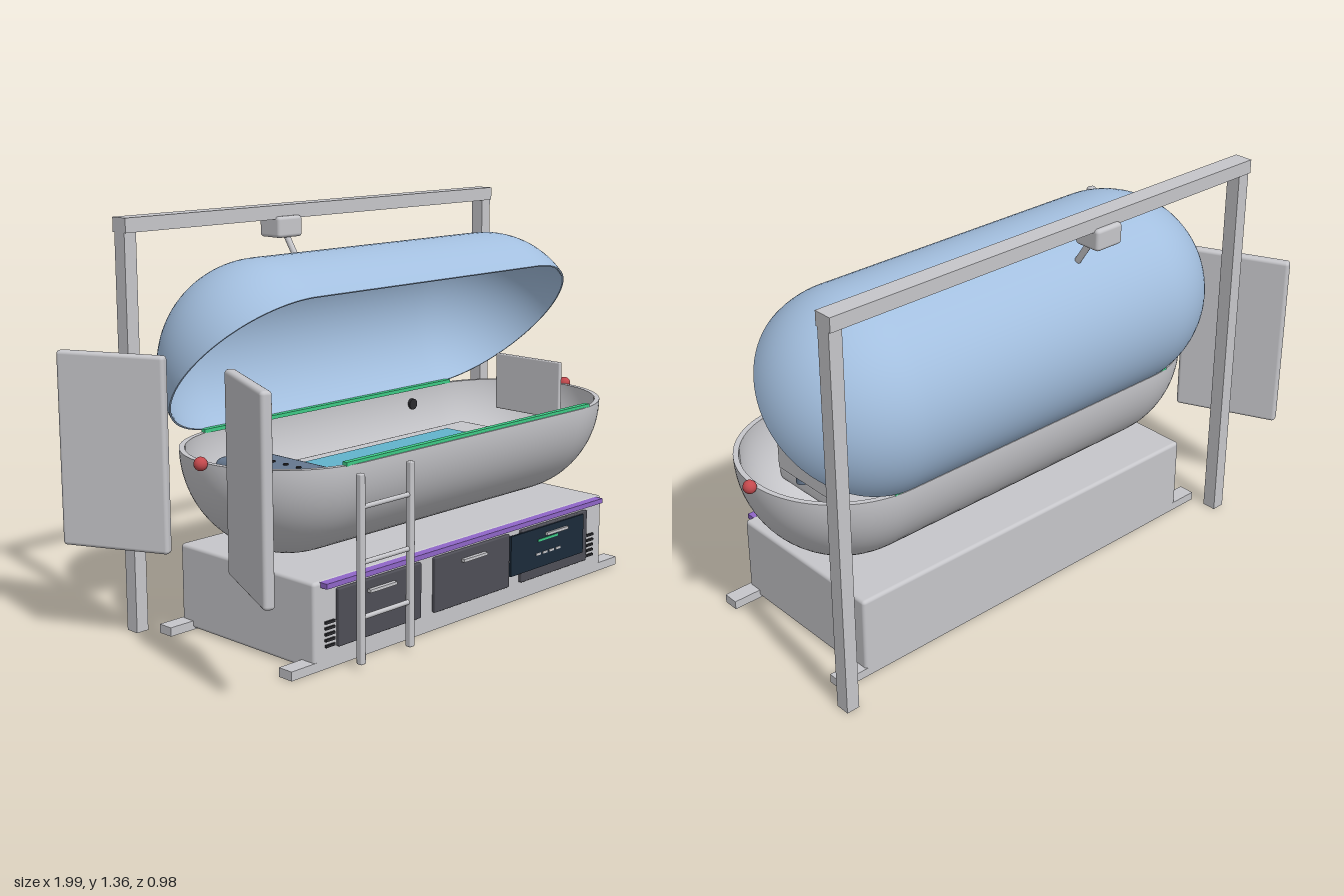
import * as THREE from 'three';
import { RoundedBoxGeometry } from 'three/addons/geometries/RoundedBoxGeometry.js';

const colour = (name, hex) => {
  const m = new THREE.MeshStandardMaterial({ color: hex });
  m.name = name;
  return m;
};

export function createModel() {
  const root = new THREE.Group();
  root.name = 'spaCapsule';
  const grey = colour('light grey', 0xc6c6ca);
  const blue = colour('lid blue', 0xa3bfdf);
  const dark = colour('drawer grey', 0x4e4e56);
  const navy = colour('screen navy', 0x1b2a3a);
  const purple = colour('purple light', 0x8f66c8);
  const green = colour('green light', 0x3ecb86);
  const cyan = colour('cyan pad', 0x62b4cc);
  const red = colour('red', 0xc4494d);
  const slate = colour('pillow slate', 0x66788f);
  const black = colour('jet black', 0x2a2a2e);

  const add = (name, geo, mat, x = 0, y = 0, z = 0, parent = root) => {
    const m = new THREE.Mesh(geo, mat);
    m.name = name;
    m.position.set(x, y, z);
    parent.add(m);
    return m;
  };
  // box given by its min and max on each axis, optionally rounded
  const box = (name, mat, [x0, x1], [y0, y1], [z0, z1], r = 0) => {
    const s = [x1 - x0, y1 - y0, z1 - z0];
    const geo = r ? new RoundedBoxGeometry(...s, 3, r) : new THREE.BoxGeometry(...s);
    return add(name, geo, mat, (x0 + x1) / 2, (y0 + y1) / 2, (z0 + z1) / 2);
  };
  // round bar between two points
  const bar = (name, mat, a, b, r) => {
    const p = new THREE.Vector3(...a), d = new THREE.Vector3(...b).sub(p);
    const m = add(name, new THREE.CylinderGeometry(r, r, d.length(), 12), mat);
    m.position.copy(p).addScaledVector(d, 0.5);
    m.quaternion.setFromUnitVectors(new THREE.Vector3(0, 1, 0), d.normalize());
    return m;
  };

  // half capsule shell, opening upwards, long axis on x
  const R = 0.345, L = 0.5375;
  const shell = (name, mat, thickness) => {
    const g = new THREE.Group();
    g.name = name;
    const profile = (r) => {
      const pts = [];
      for (const s of [-1, 1]) {
        for (let i = 0; i <= 20; i++) {
          const a = (s < 0 ? i - 20 : i) / 20 * Math.PI / 2;
          pts.push(new THREE.Vector2(Math.max(0, r * Math.cos(a)), s * L + r * Math.sin(a)));
        }
      }
      return pts;
    };
    const half = (pts) => new THREE.LatheGeometry(pts, 40, 0, Math.PI).rotateZ(-Math.PI / 2);
    const ri = R - thickness;
    add(name + 'Outside', half(profile(R)), mat, 0, 0, 0, g);
    add(name + 'Inside', half(profile(ri).reverse()), mat, 0, 0, 0, g);
    const stadium = (path, r) => path
      .absarc(L, 0, r, -Math.PI / 2, Math.PI / 2, false)
      .absarc(-L, 0, r, Math.PI / 2, Math.PI * 1.5, false)
      .closePath();
    const rim = stadium(new THREE.Shape(), R);
    rim.holes.push(stadium(new THREE.Path(), ri));
    add(name + 'Rim', new THREE.ShapeGeometry(rim, 32).rotateX(-Math.PI / 2), mat, 0, 0, 0, g);
    root.add(g);
    return g;
  };
  shell('tub', grey, 0.018).position.set(0.08, 0.635, 0);
  const lid = shell('lid', blue, 0.006);
  lid.position.set(0.08, 0.88, -0.1);
  lid.rotation.x = Math.PI * 0.75;

  // inside the tub
  box('bed', grey, [-0.53, 0.69], [0.42, 0.497], [-0.27, 0.27], 0.03);
  box('bedPad', cyan, [-0.24, 0.52], [0.495, 0.502], [-0.19, 0.19]);
  box('pillow', slate, [-0.59, -0.4], [0.49, 0.58], [-0.22, 0.22], 0.03);
  for (let i = 0; i < 6; i++) {
    add('pillowJet', new THREE.CylinderGeometry(0.009, 0.009, 0.006, 12), black, -0.495, 0.581, -0.15 + i * 0.06);
  }
  box('footPanel', grey, [0.748, 0.764], [0.55, 0.76], [-0.15, 0.15], 0.005);
  add('footControl', new THREE.CylinderGeometry(0.02, 0.02, 0.05, 16), slate, 0.71, 0.52, 0.1);
  for (const x of [-0.3, 0.47]) {
    for (const s of [-1, 1]) {
      add('wallJet', new THREE.CylinderGeometry(0.02, 0.02, 0.014, 16).rotateX(Math.PI / 2), black, x, 0.582, s * 0.32);
    }
  }

  // rim lights and end knobs
  for (const z of [-0.33, 0.33]) box('rimLight', green, [-0.53, 0.68], [0.633, 0.646], [z - 0.01, z + 0.01]);
  for (const x of [-0.818, 0.975]) add('endKnob', new THREE.SphereGeometry(0.022, 20, 14), red, x, 0.635, 0);

  // base cabinet and runners
  box('cabinet', grey, [-0.65, 0.8], [0.005, 0.285], [-0.315, 0.315], 0.012);
  for (const z of [-0.287, 0.287]) box('runner', grey, [-0.745, 0.9], [0, 0.03], [z - 0.028, z + 0.028]);
  box('cabinetLight', purple, [-0.62, 0.77], [0.266, 0.283], [0.31, 0.342]);
  for (const [a, b] of [[-0.555, -0.18], [-0.115, 0.265], [0.33, 0.7]]) {
    box('drawer', dark, [a, b], [0.063, 0.25], [0.31, 0.328], 0.004);
    const c = (a + b) / 2 - 0.002;
    box('drawerHandle', grey, [c - 0.06, c + 0.06], [0.21, 0.22], [0.326, 0.342]);
  }
  box('screen', navy, [0.265, 0.67], [0.1, 0.243], [0.326, 0.334]);
  box('screenGreenBar', green, [0.41, 0.52], [0.195, 0.203], [0.333, 0.336]);
  for (let i = 0; i < 4; i++) box('screenGreyBar', grey, [0.4 + i * 0.037, 0.425 + i * 0.037], [0.146, 0.154], [0.333, 0.336]);
  for (const x of [-0.585, 0.728]) {
    for (let i = 0; i < 5; i++) {
      const y = 0.07 + i * 0.019;
      box('ventSlat', black, [x - 0.02, x + 0.02], [y, y + 0.008], [0.312, 0.322]);
    }
  }

  // ladder
  for (const x of [-0.525, -0.305]) box('ladderRail', grey, [x - 0.011, x + 0.011], [0.016, 0.62], [0.382, 0.404], 0.004);
  for (const y of [0.165, 0.34, 0.515]) bar('ladderRung', grey, [-0.525, y, 0.393], [-0.305, y, 0.393], 0.008);

  // overhead frame
  for (const x of [-0.777, 0.932]) box('framePost', grey, [x - 0.023, x + 0.023], [0, 1.31], [-0.415, -0.365]);
  box('frameBeam', grey, [-0.8, 0.955], [1.308, 1.355], [-0.423, -0.358]);

  // hanging lamp
  box('lampHousing', grey, [-0.17, -0.06], [1.245, 1.317], [-0.44, -0.34], 0.012);
  bar('lampArm', grey, [-0.115, 1.26, -0.37], [-0.115, 1.1, -0.265], 0.011);
  add('lampHead', new THREE.CylinderGeometry(0.035, 0.048, 0.025, 24), grey, -0.115, 1.098, -0.262);
  add('lampGlass', new THREE.CylinderGeometry(0.045, 0.045, 0.009, 24), cyan, -0.115, 1.081, -0.262);

  // angled side screens
  for (const s of [-1, 1]) {
    const p = add('sideScreen', new RoundedBoxGeometry(0.036, 0.63, 0.37, 3, 0.012), grey, -0.903, 0.635, s * 0.317);
    p.rotation.y = -s * 0.44;
  }
  return root;
}
